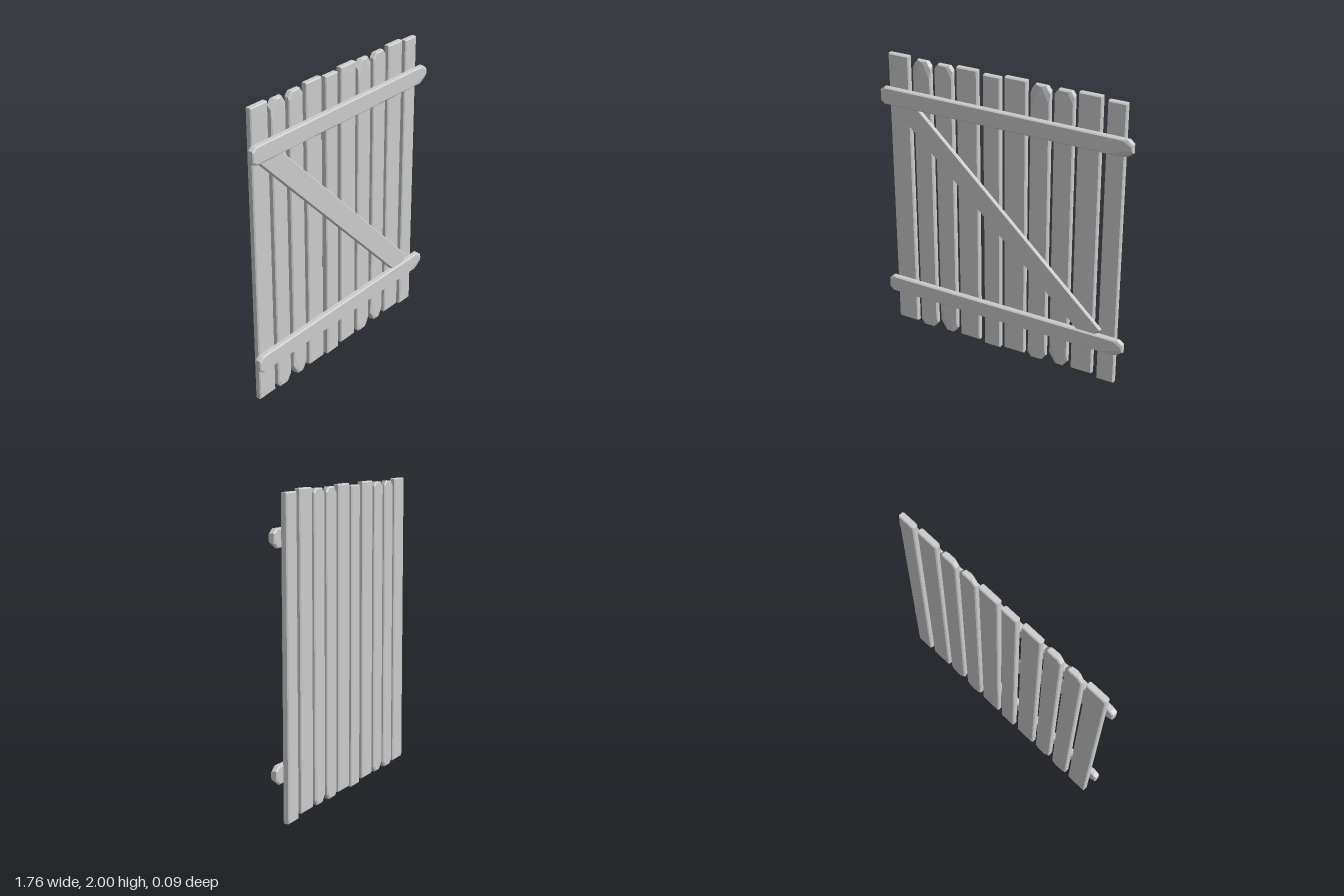
import * as THREE from 'three';
import { ConvexGeometry } from 'three/addons/geometries/ConvexGeometry.js';

const material = new THREE.MeshStandardMaterial({ color: 0xcccccc, flatShading: true });
const BEVEL = 0.007;

// Eight-sided outline of a board standing along y. Corners run top right,
// top left, bottom left, bottom right; each is trimmed by its cut plus its chip.
function outline(w, h, z, inset, cuts, chips, wear) {
  const signs = [[1, 1], [-1, 1], [-1, -1], [1, -1]];
  return signs.flatMap(([sx, sy], i) => {
    const cx = Math.min(cuts[i] * 0.8 + chips[i] * wear * 0.35, w * 0.42);
    const cy = cuts[i] + chips[i] * wear;
    const x = w / 2 - inset, y = h / 2 - inset;
    return [
      new THREE.Vector3(sx * x, sy * (y - cy), z),
      new THREE.Vector3(sx * (x - cx), sy * y, z),
    ];
  });
}

// Bevelled board; chips wear the corners away towards the front face.
function board(name, w, h, d, cuts = [0.003, 0.003, 0.003, 0.003], chips = [0, 0, 0, 0]) {
  const points = [
    ...outline(w, h, -d / 2, BEVEL, cuts, chips, 0),
    ...outline(w, h, -d / 2 + BEVEL, 0, cuts, chips, 0),
    ...outline(w, h, d / 2 - BEVEL, 0, cuts, chips, 0.25),
    ...outline(w, h, d / 2, BEVEL, cuts, chips, 1),
  ];
  const mesh = new THREE.Mesh(new ConvexGeometry(points), material);
  mesh.name = name;
  return mesh;
}

export function createModel() {
  const gate = new THREE.Group();
  gate.name = 'plankGate';

  // Wear of the two kinds of weathered plank
  const wornTop = { cuts: [0.028, 0.034, 0.025, 0.035], chips: [0.08, 0.1, 0.03, 0.04] };
  const wornBottom = { cuts: [0.025, 0.03, 0.045, 0.035], chips: [0.05, 0.02, 0.12, 0.05] };

  // Upright planks: left edge, right edge, bottom, top, wear
  const planks = [
    [-0.84, -0.69, 0.02, 2.0],
    [-0.66, -0.53, 0.01, 1.99, wornTop],
    [-0.5, -0.37, 0.015, 1.99, wornBottom],
    [-0.34, -0.19, 0.02, 2.0],
    [-0.15, -0.03, 0.005, 1.985],
    [0.0, 0.153, 0.02, 2.0],
    [0.18, 0.313, 0.01, 1.99, wornTop],
    [0.342, 0.474, 0.015, 1.99, wornBottom],
    [0.503, 0.655, 0.02, 2.0],
    [0.692, 0.815, 0.0, 1.985],
  ];
  planks.forEach(([x0, x1, y0, y1, wear = {}], i) => {
    const plank = board(`plank${i + 1}`, x1 - x0, y1 - y0, 0.042, wear.cuts, wear.chips);
    plank.position.set((x0 + x1) / 2, (y0 + y1) / 2, -0.023);
    gate.add(plank);
  });

  // Horizontal rails, with a chipped lower corner at one end
  for (const [name, y] of [['upperRail', 1.72], ['lowerRail', 0.307]]) {
    const rail = board(name, 0.116, 1.765, 0.044, [0.035, 0.03, 0.025, 0.025], [0.12, 0.03, 0.01, 0.01]);
    rail.rotation.z = -Math.PI / 2;
    rail.position.set(0, y, 0.022);
    gate.add(rail);
  }

  // Diagonal brace, its ends tucked into the rails
  const brace = board('diagonalBrace', 0.148, 1.97, 0.03);
  brace.rotation.z = Math.atan2(1.43, 1.36);
  brace.position.set(-0.043, 1.025, 0.013);
  gate.add(brace);

  return gate;
}
